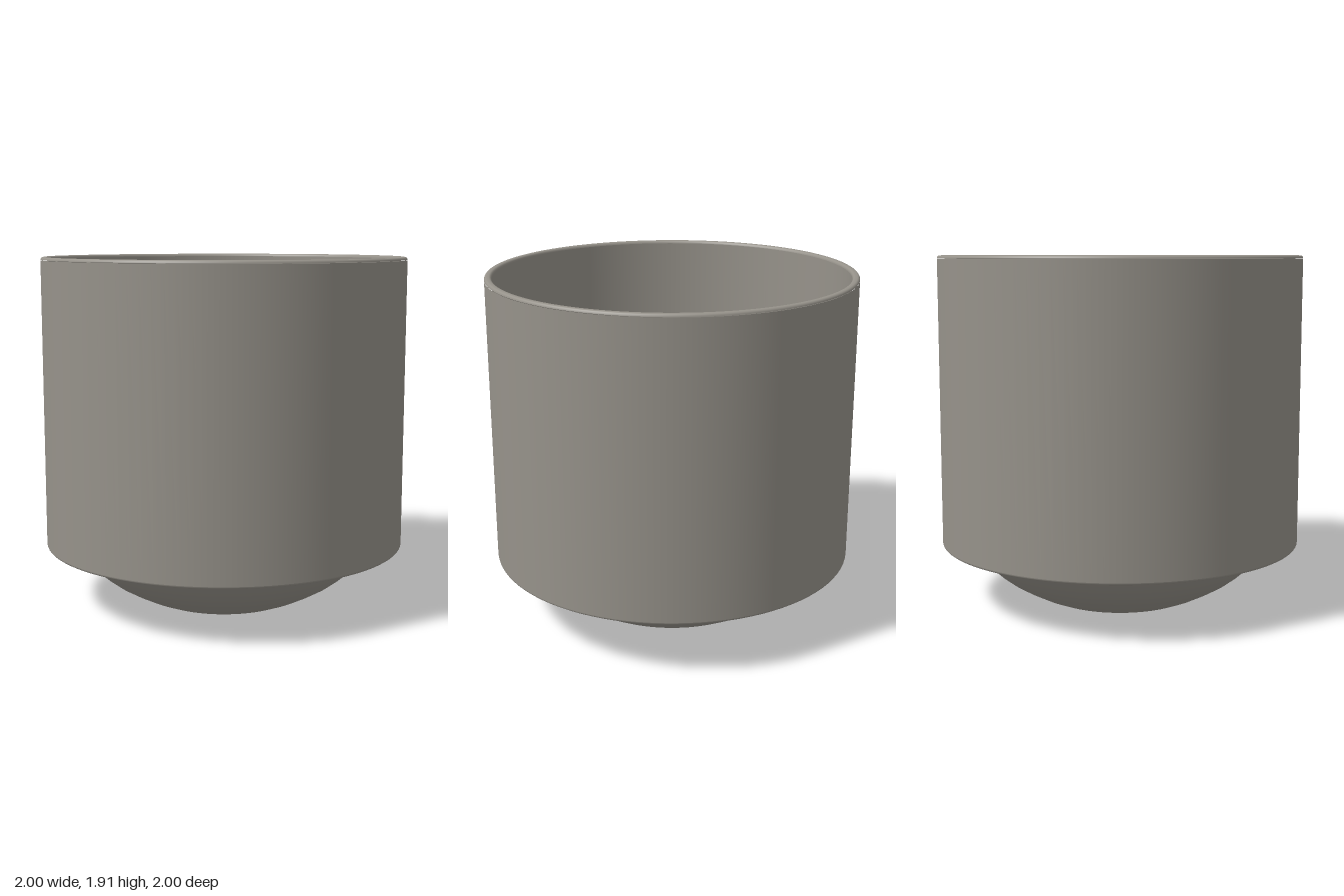
import * as THREE from 'three';

const SEGMENTS = 96;

export function createModel() {
  const model = new THREE.Group();
  const clay = new THREE.MeshStandardMaterial({ color: 0x96928a });
  clay.name = 'warmGrey';

  // Each smooth stretch of the profile is its own lathe, so edges between them stay crisp
  const turn = (parent, name, profile) => {
    const points = profile.map(([r, y]) => new THREE.Vector2(r, y));
    const mesh = new THREE.Mesh(new THREE.LatheGeometry(points, SEGMENTS), clay);
    mesh.name = name;
    parent.add(mesh);
  };

  // Quarter-round between two directions, for the softened edges
  const arc = (cr, cy, radius, from, to, steps = 4) =>
    Array.from({ length: steps + 1 }, (_, i) => {
      const a = THREE.MathUtils.degToRad(from + ((to - from) * i) / steps);
      return [cr + radius * Math.cos(a), cy + radius * Math.sin(a)];
    });

  // Rounded base bowl with a flat foot
  const base = new THREE.Group();
  base.name = 'base';
  turn(base, 'foot', [[0, 0], [0.41, 0]]);
  turn(base, 'bowlOutside', [[0.41, 0], [0.49, 0.033], [0.57, 0.074], [0.64, 0.115],
    [0.7, 0.16], [0.76, 0.215], [0.81, 0.273], [0.845, 0.32]]);
  turn(base, 'bowlInside', [[0.83, 0.36], [0.815, 0.354], [0.795, 0.325], [0.75, 0.267],
    [0.69, 0.206], [0.63, 0.157], [0.56, 0.112], [0.48, 0.069], [0.41, 0.04]]);
  turn(base, 'floor', [[0.41, 0.04], [0, 0.04]]);
  model.add(base);

  // Straight cylindrical cup with rounded lower edge and rim
  const cup = new THREE.Group();
  cup.name = 'cup';
  turn(cup, 'underside', [[0.845, 0.32], [0.988, 0.32]]);
  turn(cup, 'lowerEdge', arc(0.988, 0.332, 0.012, -90, 0));
  turn(cup, 'outerWall', [[1, 0.332], [1, 1.898]]);
  turn(cup, 'rim', [...arc(0.985, 1.9, 0.015, 0, 90), ...arc(0.975, 1.9, 0.015, 90, 180)]);
  turn(cup, 'innerWall', [[0.96, 1.9], [0.96, 0.36]]);
  turn(cup, 'innerLedge', [[0.96, 0.36], [0.83, 0.36]]);
  model.add(cup);

  return model;
}
